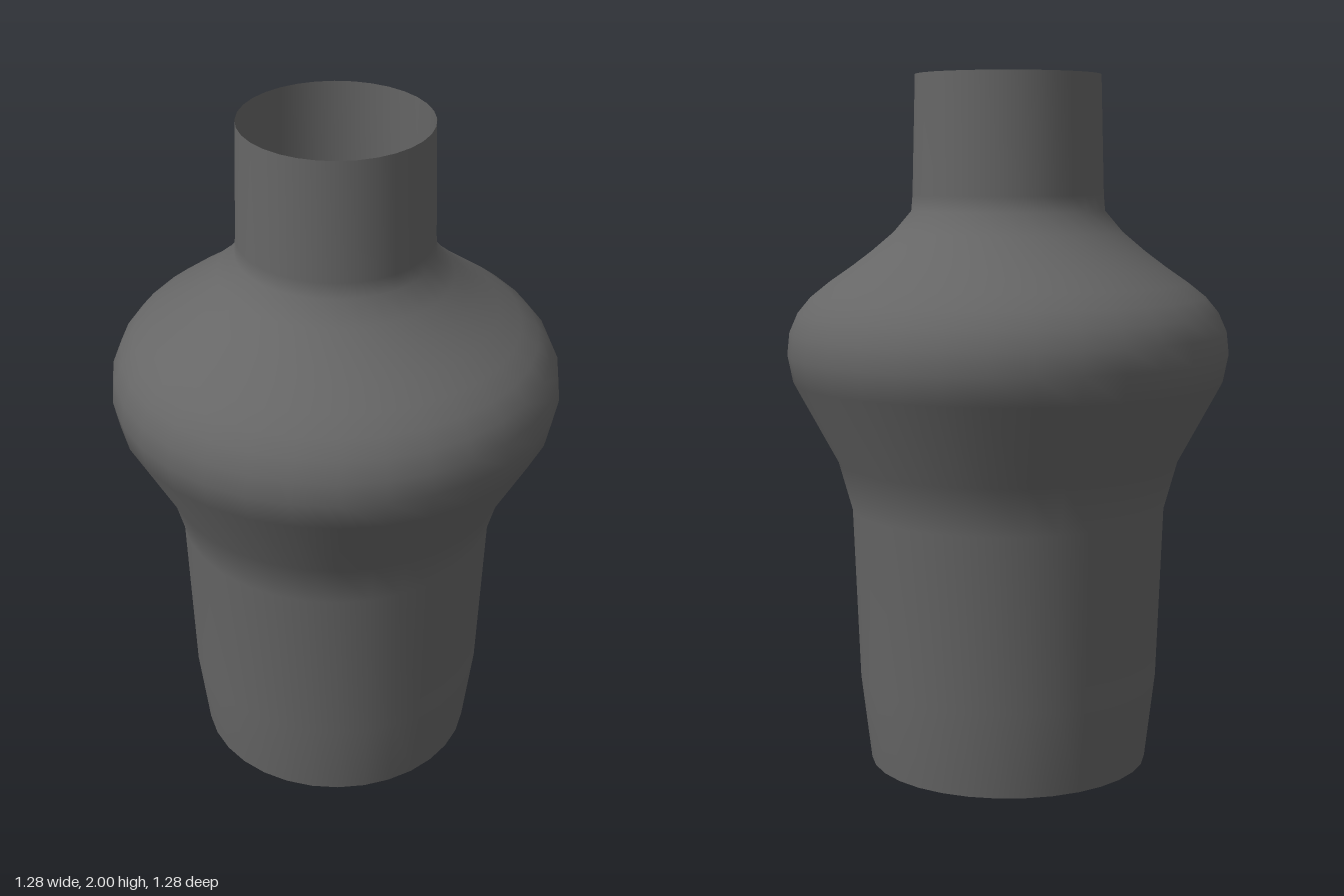
import * as THREE from 'three';

const SIDES = 32;

export function createModel() {
  const group = new THREE.Group();
  group.name = 'vase';
  const material = new THREE.MeshStandardMaterial({ color: 0x666666, side: THREE.DoubleSide });

  // Thin open wall: tapered body, bulging shoulder, straight neck ([radius, height])
  const profile = [
    [0.407, 0], [0.437, 0.25], [0.456, 0.75], [0.495, 0.89], [0.622, 1.125],
    [0.638, 1.205], [0.631, 1.27], [0.607, 1.325], [0.57, 1.37], [0.52, 1.41],
    [0.455, 1.455], [0.395, 1.5], [0.33, 1.555], [0.279, 1.615], [0.275, 1.66], [0.266, 2],
  ].map(([r, y]) => new THREE.Vector2(r, y));
  const wall = new THREE.Mesh(new THREE.LatheGeometry(profile, SIDES), material);
  wall.name = 'wall';
  group.add(wall);

  // Flat floor closing the bottom, also visible through the open mouth
  const floor = new THREE.Mesh(new THREE.CircleGeometry(profile[0].x, SIDES).rotateX(Math.PI / 2), material);
  floor.name = 'floor';
  group.add(floor);

  return group;
}
